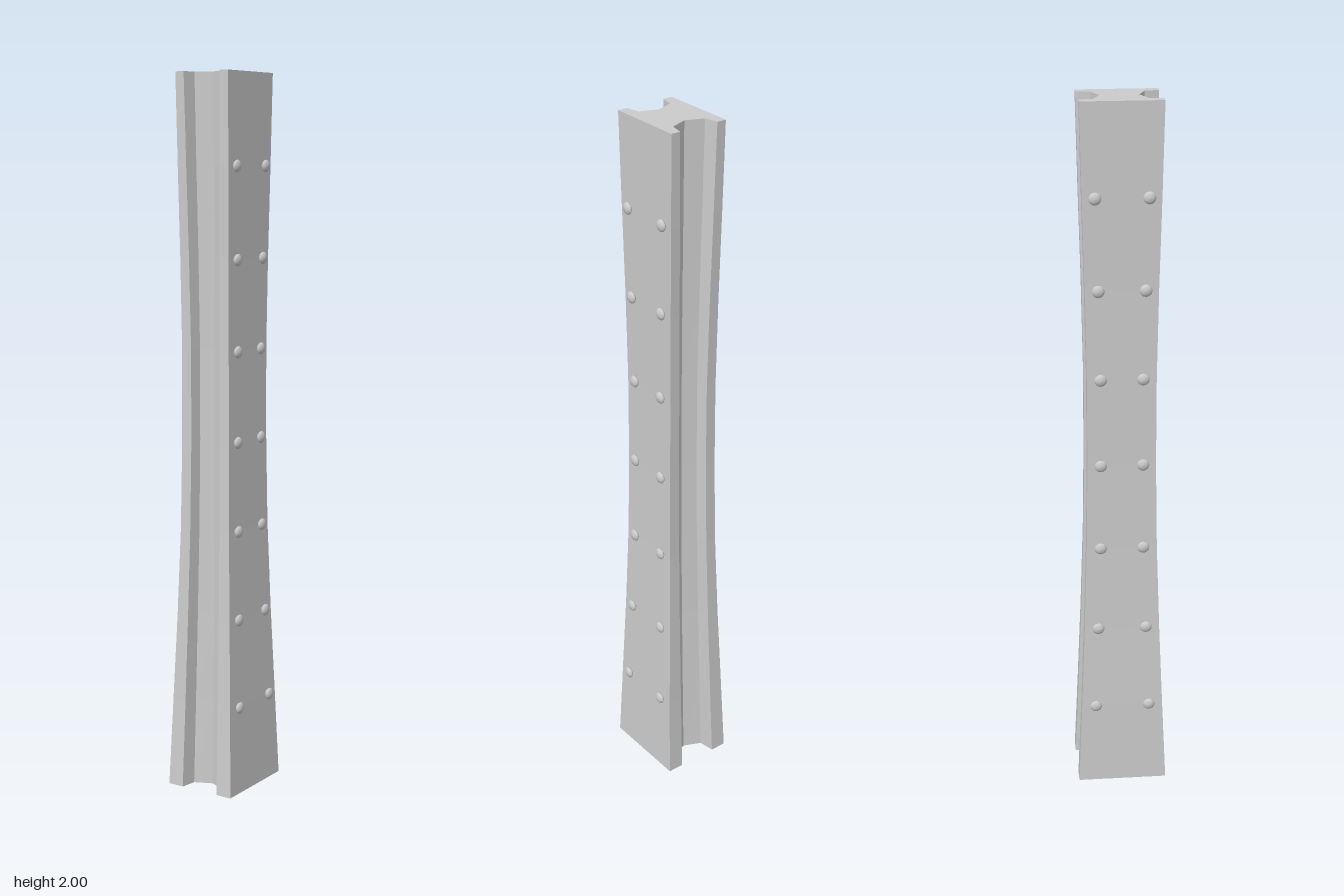
import * as THREE from 'three';

// Half width, half depth and half groove width at each level, bottom to top
const STEP = 0.25;
const HALF_X = [0.105, 0.097, 0.088, 0.081, 0.078, 0.077, 0.079, 0.082, 0.085];
const HALF_Z = [0.128, 0.117, 0.107, 0.099, 0.095, 0.095, 0.099, 0.105, 0.11];
const GROOVE = [0.058, 0.055, 0.052, 0.049, 0.047, 0.047, 0.05, 0.054, 0.058];
const RIVET_Z = [0.077, 0.068, 0.06, 0.0585, 0.058, 0.0635, 0.0715];

// Cross-section of the beam at one level, counter-clockwise in (x, -z)
function section(i) {
  const w = HALF_X[i], d = HALF_Z[i], g = GROOVE[i];
  const right = [[w, -d], [w, d], [g, d], [g * 0.86, d * 0.645]];
  const back = [[0, d * 0.47]];
  const left = [[-g * 0.86, d * 0.645], [-g, d], [-w, d], [-w, -d], [-g, -d], [-g * 0.86, -d * 0.645]];
  return [...right, ...back, ...left, [0, -d * 0.47], [g * 0.86, -d * 0.645], [g, -d]]
    .map(([x, y]) => new THREE.Vector2(x, y));
}

// Loft the sections and close both ends
function beamGeometry() {
  const pos = [];
  const put = (p, i) => pos.push(p.x, i * STEP, -p.y);
  const rings = HALF_X.map((_, i) => section(i));
  const n = rings[0].length, last = rings.length - 1;
  for (let i = 0; i < last; i++) {
    for (let k = 0; k < n; k++) {
      const m = (k + 1) % n, a = rings[i], b = rings[i + 1];
      put(a[k], i); put(a[m], i); put(b[m], i + 1);
      put(a[k], i); put(b[m], i + 1); put(b[k], i + 1);
    }
  }
  for (const [a, b, c] of THREE.ShapeUtils.triangulateShape(rings[0], [])) {
    for (const k of [a, c, b]) put(rings[0][k], 0);
    for (const k of [a, b, c]) put(rings[last][k], last);
  }
  const geo = new THREE.BufferGeometry();
  geo.setAttribute('position', new THREE.Float32BufferAttribute(pos, 3));
  geo.computeVertexNormals();
  return geo;
}

export function createModel() {
  const model = new THREE.Group();
  const flat = new THREE.MeshStandardMaterial({ color: 0xcccccc, flatShading: true });
  const smooth = new THREE.MeshStandardMaterial({ color: 0xcccccc });

  const beam = new THREE.Mesh(beamGeometry(), flat);
  beam.name = 'beam';
  model.add(beam);

  // Domed rivets on a short stem, two columns on each side face
  const profile = [[0.011, -0.006], [0.012, 0.003], [0.016, 0.004], [0.017, 0.007],
    [0.014, 0.011], [0.008, 0.014], [0, 0.015]].map(([r, y]) => new THREE.Vector2(r, y));
  const rivetGeo = new THREE.LatheGeometry(profile, 16);
  const rivets = new THREE.Group();
  rivets.name = 'rivets';
  RIVET_Z.forEach((z, i) => {
    for (const sx of [-1, 1]) {
      for (const sz of [-1, 1]) {
        const rivet = new THREE.Mesh(rivetGeo, smooth);
        rivet.name = 'rivet';
        rivet.position.set(sx * HALF_X[i + 1], (i + 1) * STEP, sz * z);
        rivet.rotation.z = -sx * Math.PI / 2;
        rivets.add(rivet);
      }
    }
  });
  model.add(rivets);
  return model;
}
